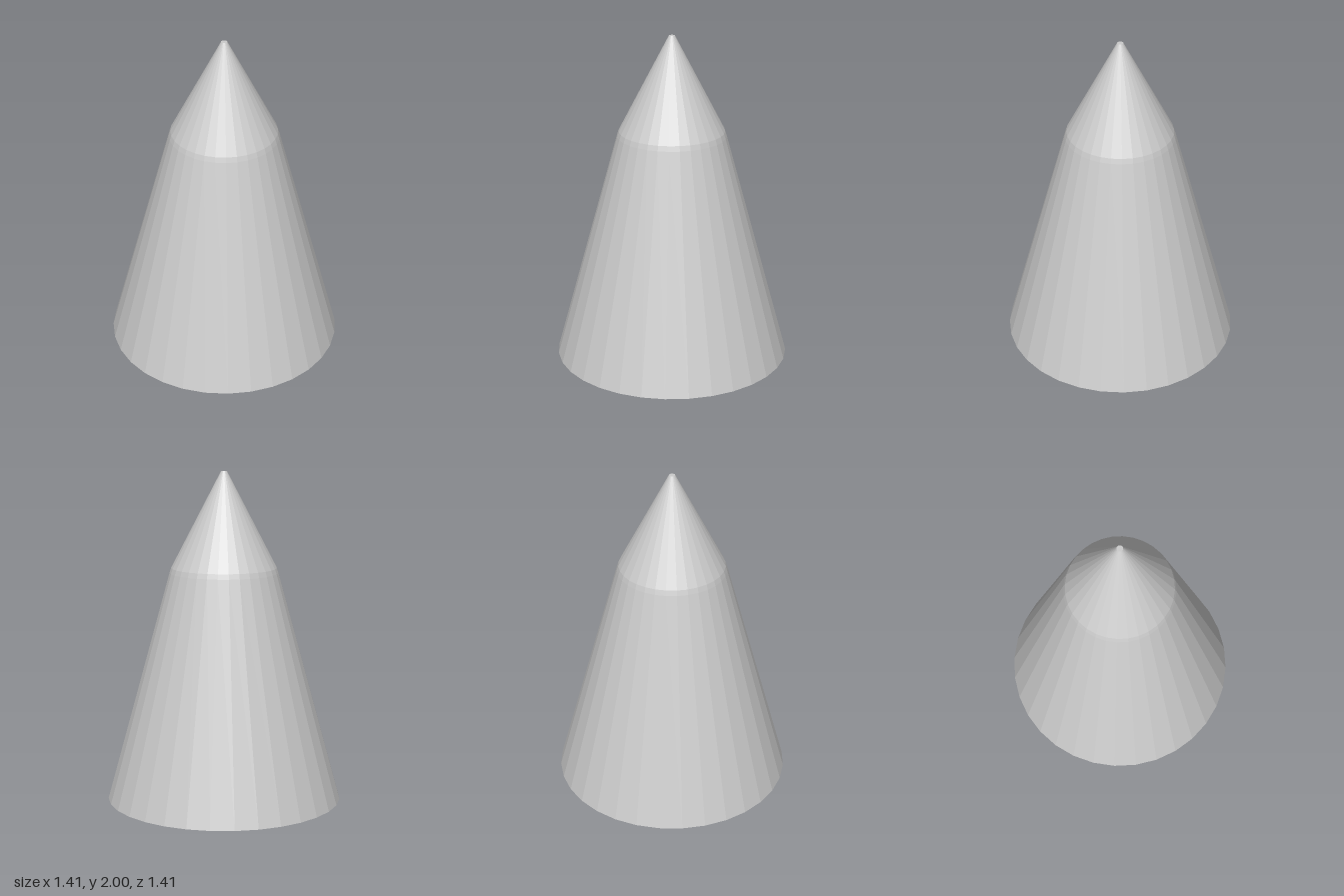
import * as THREE from 'three';

const SIDES = 32;

// Faceted surface of revolution; points run so that faces look outward
function revolve(name, points, material) {
  const profile = points.map(([r, y]) => new THREE.Vector2(r, y));
  const mesh = new THREE.Mesh(new THREE.LatheGeometry(profile, SIDES), material);
  mesh.name = name;
  return mesh;
}

export function createModel() {
  const material = new THREE.MeshStandardMaterial({ color: 0xcccccc, flatShading: true });
  const group = new THREE.Group();
  group.name = 'hollowCone';

  // Flared lower wall, steeper tip and small flat cap
  group.add(revolve('outerWall', [[0.705, 0.025], [0.325, 1.4], [0.315, 1.43]], material));
  group.add(revolve('tip', [[0.315, 1.43], [0.018, 2], [0, 2]], material));

  // Slightly sloped underside around the opening
  group.add(revolve('rim', [[0.545, 0], [0.705, 0.025]], material));

  // Hollow interior, running from its apex down to the opening
  group.add(revolve('innerWall', [[0, 1.73], [0.165, 1.4], [0.545, 0]], material));

  return group;
}
